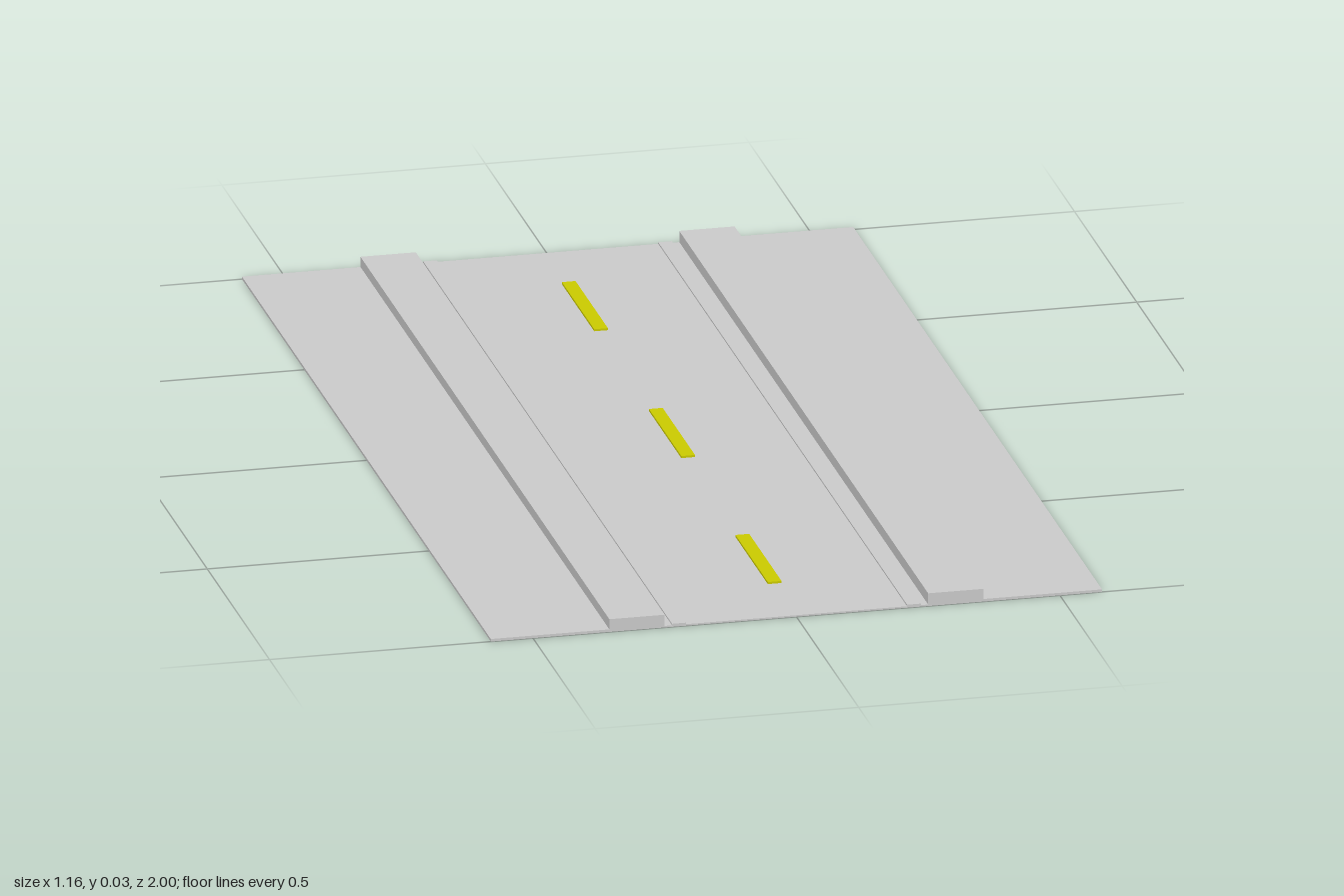
import * as THREE from 'three';

const LENGTH = 2;
const grey = new THREE.MeshStandardMaterial({ color: 0xcccccc, flatShading: true });
const yellow = new THREE.MeshStandardMaterial({ color: 0xcccc00, flatShading: true });

// Box spanning x0..x1 and y0..y1, centred on z along the road
function strip(name, x0, x1, y0, y1, z = 0, length = LENGTH, material = grey) {
  const mesh = new THREE.Mesh(new THREE.BoxGeometry(x1 - x0, y1 - y0, length), material);
  mesh.position.set((x0 + x1) / 2, (y0 + y1) / 2, z);
  mesh.name = name;
  return mesh;
}

export function createModel() {
  const road = new THREE.Group();
  road.name = 'road';

  // Carriageway between the kerbs
  road.add(strip('carriageway', -0.25, 0.25, 0, 0.003));

  // Kerb, outer verge and raised edge line on each side
  for (const [side, s] of [['left', 1], ['right', -1]]) {
    const mirrored = (name, a, b, y0, y1) =>
      strip(side + name, Math.min(s * a, s * b), Math.max(s * a, s * b), y0, y1);
    road.add(
      mirrored('Verge', 0.355, 0.58, 0, 0.005),
      mirrored('Kerb', 0.25, 0.355, 0, 0.025),
      mirrored('EdgeLine', 0.21, 0.236, 0.003, 0.006)
    );
  }

  // Dashed centre line
  for (const z of [-0.7, 0, 0.695]) {
    road.add(strip('centreDash', -0.013, 0.013, 0.003, 0.007, z, 0.26, yellow));
  }
  return road;
}
